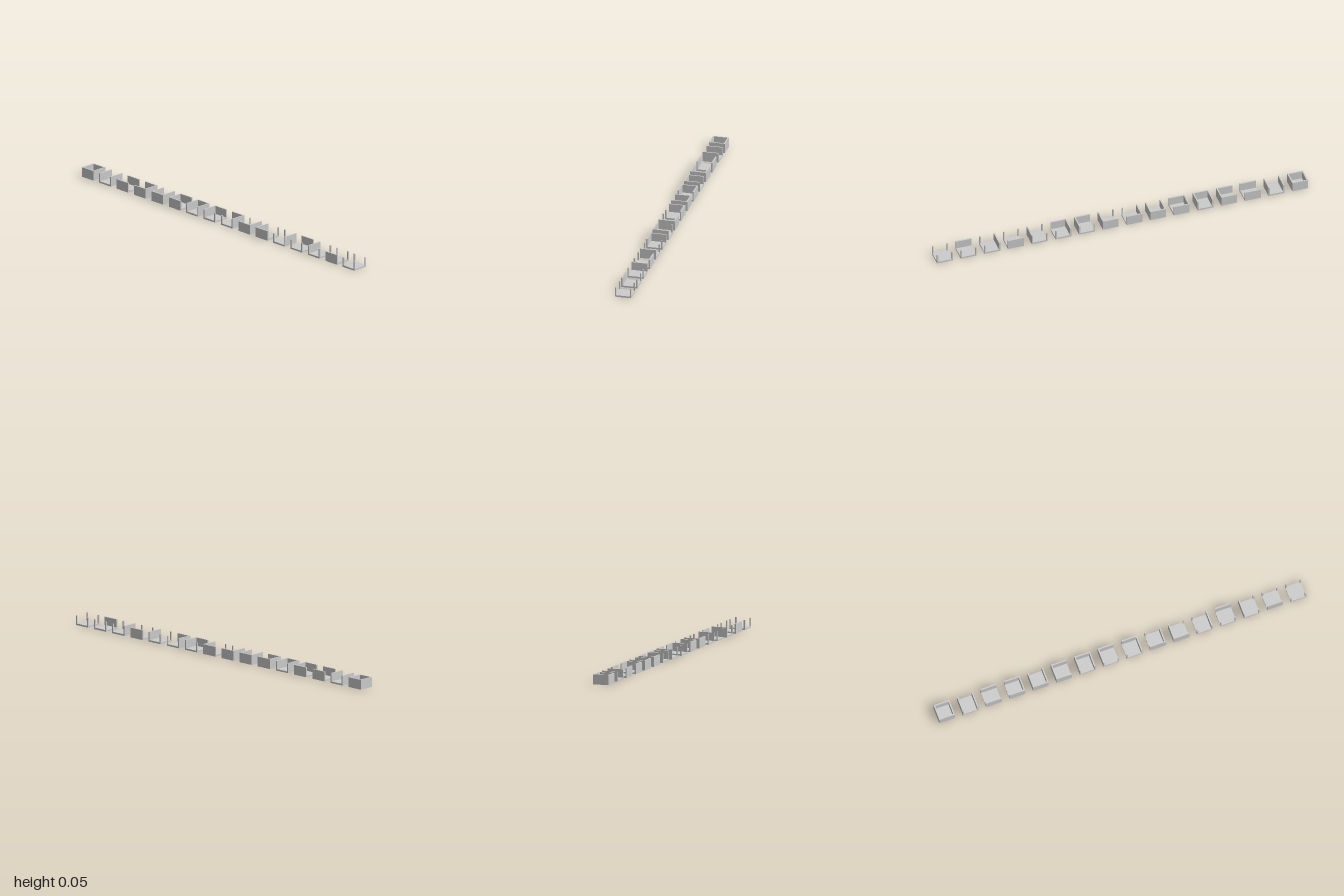
import * as THREE from 'three';

const TILE = 2 / 23.5;          // 16 tiles with half-tile gaps
const PITCH = TILE * 1.5;
const FLOOR = TILE * 0.1;
const HEIGHT = TILE * 0.605;
const THICK = TILE * 0.08;

// Walls on each tile, from front to back: W = -x, E = +x, N = -z, S = +z
const LAYOUT = ['', 'W', 'N', 'E', 'S', 'WN', 'WS', 'ES', 'NE',
  'NES', 'WNE', 'WNS', 'WES', 'WE', 'NS', 'WNES'];
const SIDES = { W: [-1, 0], E: [1, 0], N: [0, -1], S: [0, 1] };

const material = new THREE.MeshStandardMaterial({ color: 0xcccccc, flatShading: true });

function addBox(parent, name, w, h, d, x, y, z) {
  const mesh = new THREE.Mesh(new THREE.BoxGeometry(w, h, d), material);
  mesh.name = name;
  mesh.position.set(x, y, z);
  parent.add(mesh);
}

function createTile(walls) {
  const tile = new THREE.Group();
  const edge = (TILE - THICK) / 2;
  const span = TILE - 2 * THICK;
  const wallHeight = HEIGHT - FLOOR;
  const wallY = FLOOR + wallHeight / 2;

  addBox(tile, 'floor', TILE, FLOOR, TILE, 0, FLOOR / 2, 0);

  // Corner posts stand on every tile
  for (const sx of [-1, 1]) {
    for (const sz of [-1, 1]) {
      addBox(tile, 'cornerPost', THICK, wallHeight, THICK, sx * edge, wallY, sz * edge);
    }
  }

  // Walls fill the space between neighbouring posts
  for (const side of walls) {
    const [sx, sz] = SIDES[side];
    addBox(tile, 'wall', sx ? THICK : span, wallHeight, sz ? THICK : span,
      sx * edge, wallY, sz * edge);
  }
  return tile;
}

export function createModel() {
  const model = new THREE.Group();
  model.name = 'wallTileSet';
  LAYOUT.forEach((walls, i) => {
    const tile = createTile(walls);
    tile.name = `tile${i}`;
    tile.position.z = (7.5 - i) * PITCH;
    model.add(tile);
  });
  return model;
}
